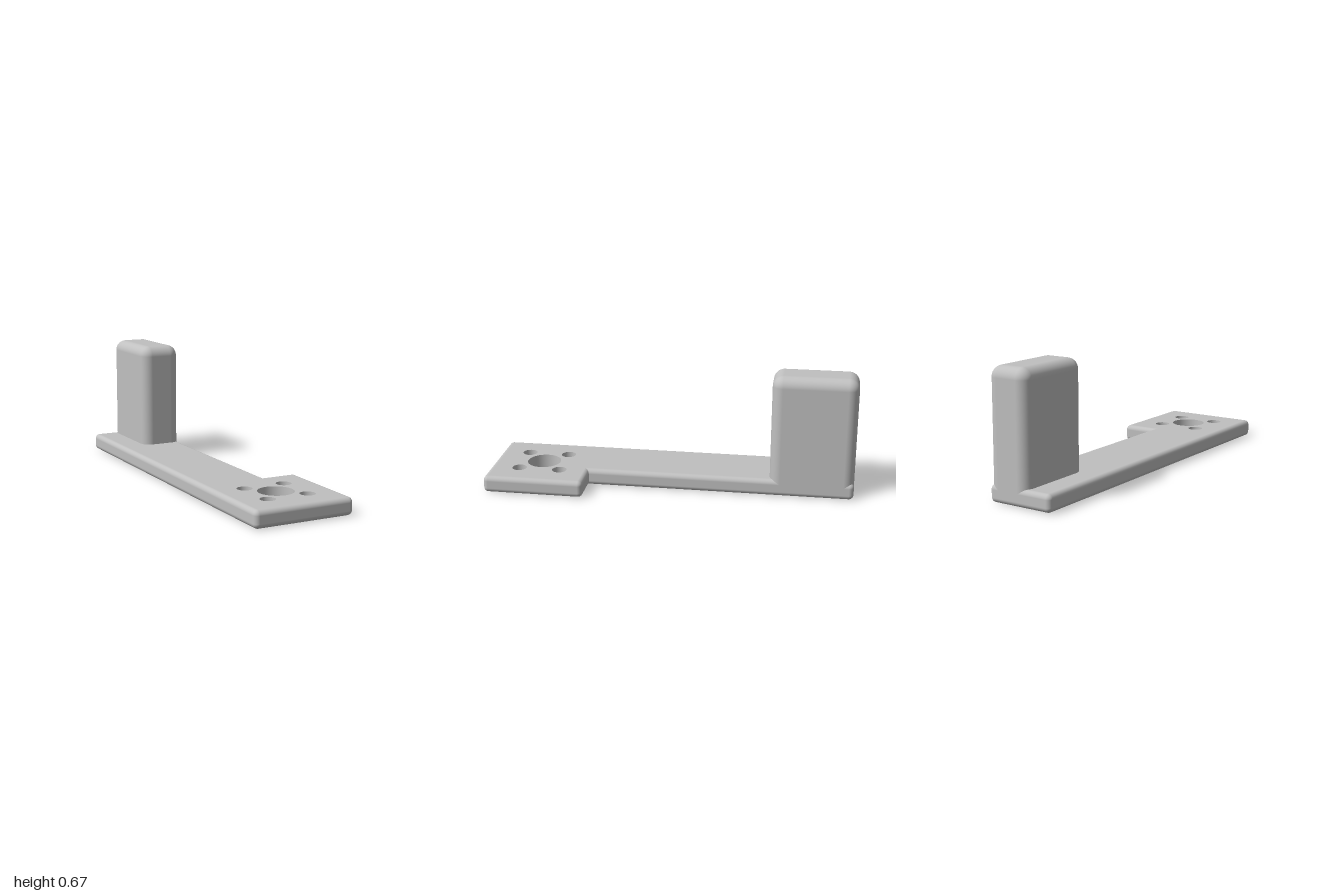
import * as THREE from 'three';
import { RoundedBoxGeometry } from 'three/addons/geometries/RoundedBoxGeometry.js';

const R = 0.026;      // plate edge rounding
const H = 0.092;      // plate thickness
const BORE = { x: 0, z: 0.724, r: 0.093 };
const SCREWS = [[-1, -1], [1, -1], [-1, 1], [1, 1]].map(([sx, sz]) => ({
  x: sx * 0.113, z: BORE.z + sz * 0.113,
}));
const SCREW_R = 0.04, COUNTER_R = 0.063, COUNTER_DEPTH = 0.055;

// Centres of the rounded corners of the L-shaped plate, in (x, z)
const CORE = [
  [0.275 - R, 1 - R], [-0.275 + R, 1 - R], [-0.275 + R, -1 + R],
  [0.09 - R, -1 + R], [0.09 - R, 0.45 + R], [0.275 - R, 0.45 + R],
];

// Rounded rim swept around the plate outline
function rimGeometry() {
  const outline = [];
  const steps = 8;
  const convex = ([x, z], quarter) => {
    for (let i = 0; i <= steps; i++) {
      const a = (quarter + i / steps) * Math.PI / 2;
      const n = [Math.cos(a), Math.sin(a)];
      outline.push({ x, z, push: n, n });
    }
  };
  convex(CORE[0], 0);
  convex(CORE[1], 1);
  convex(CORE[2], 2);
  convex(CORE[3], 3);
  // sharp inner corner: one point with two normals
  for (const n of [[1, 0], [0, -1]]) {
    outline.push({ x: CORE[4][0], z: CORE[4][1], push: [1, -1], n });
  }
  convex(CORE[5], 3);

  const profile = [];
  for (let i = 0; i <= steps; i++) profile.push({ t: (i / steps - 1) * Math.PI / 2, y: R });
  for (let i = 0; i <= steps; i++) profile.push({ t: (i / steps) * Math.PI / 2, y: H - R });

  const pos = [], nor = [], idx = [];
  const count = outline.length;
  profile.forEach(({ t, y }, j) => {
    const c = Math.cos(t), s = Math.sin(t);
    outline.forEach((o, k) => {
      pos.push(o.x + o.push[0] * R * c, y + R * s, o.z + o.push[1] * R * c);
      nor.push(o.n[0] * c, s, o.n[1] * c);
      if (j === profile.length - 1) return;
      const k2 = (k + 1) % count;
      const a = j * count + k, b = j * count + k2;
      idx.push(a, a + count, b, b, a + count, b + count);
    });
  });
  const g = new THREE.BufferGeometry();
  g.setAttribute('position', new THREE.Float32BufferAttribute(pos, 3));
  g.setAttribute('normal', new THREE.Float32BufferAttribute(nor, 3));
  g.setIndex(idx);
  return g;
}

// Flat face of the plate with its holes; dir is 1 for the top, -1 for the bottom
function faceGeometry(dir, screwRadius) {
  const shape = new THREE.Shape(CORE.map(([x, z]) => new THREE.Vector2(x, -dir * z)));
  for (const h of [BORE, ...SCREWS.map((s) => ({ ...s, r: screwRadius }))]) {
    shape.holes.push(new THREE.Path().absarc(h.x, -dir * h.z, h.r, 0, Math.PI * 2));
  }
  return new THREE.ShapeGeometry(shape, 24).rotateX(-dir * Math.PI / 2);
}

// Inward-facing wall of a round hole
function wallGeometry(r, y0, y1) {
  return new THREE.LatheGeometry([new THREE.Vector2(r, y1), new THREE.Vector2(r, y0)], 48);
}

export function createModel() {
  const model = new THREE.Group();
  model.name = 'mountingBracket';
  const grey = new THREE.MeshStandardMaterial({ color: 0xc0c0c0 });
  grey.name = 'grey';

  const add = (name, geometry, x = 0, y = 0, z = 0, parent = model) => {
    const mesh = new THREE.Mesh(geometry, grey);
    mesh.name = name;
    mesh.position.set(x, y, z);
    parent.add(mesh);
  };

  // L-shaped base plate
  const plate = new THREE.Group();
  plate.name = 'basePlate';
  model.add(plate);
  add('plateRim', rimGeometry(), 0, 0, 0, plate);
  add('plateTop', faceGeometry(1, SCREW_R), 0, H, 0, plate);
  add('plateBottom', faceGeometry(-1, COUNTER_R), 0, 0, 0, plate);

  // Central bore and counterbored screw holes
  add('centreBore', wallGeometry(BORE.r, 0, H), BORE.x, 0, BORE.z, plate);
  for (const { x, z } of SCREWS) {
    add('screwHole', wallGeometry(SCREW_R, COUNTER_DEPTH, H), x, 0, z, plate);
    add('counterbore', wallGeometry(COUNTER_R, 0, COUNTER_DEPTH), x, 0, z, plate);
    add('counterboreLedge', new THREE.RingGeometry(SCREW_R, COUNTER_R, 48).rotateX(Math.PI / 2),
      x, COUNTER_DEPTH, z, plate);
  }

  // Upright block at the back, flush with the plate's side and end
  add('uprightPost', new RoundedBoxGeometry(0.228, 0.67, 0.455, 8, 0.057), -0.024, 0.335, -0.7725);

  return model;
}
